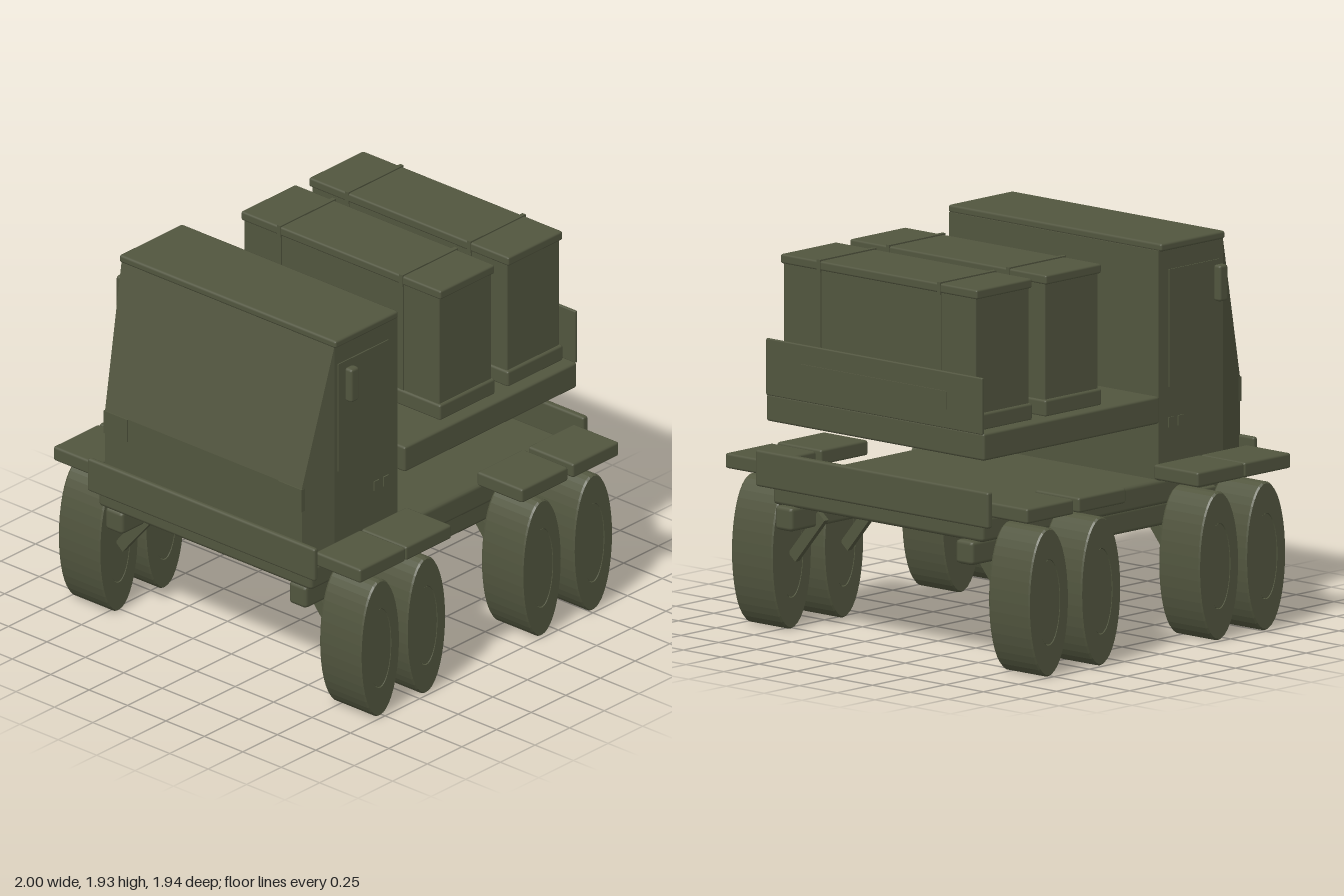
import * as THREE from 'three';
import { RoundedBoxGeometry } from 'three/addons/geometries/RoundedBoxGeometry.js';
import { ConvexGeometry } from 'three/addons/geometries/ConvexGeometry.js';

export function createModel() {
  const model = new THREE.Group();
  model.name = 'truck';
  const olive = new THREE.MeshStandardMaterial({ color: 0x52563f });
  olive.name = 'olive';

  const add = (name, geometry, parent = model) => {
    const mesh = new THREE.Mesh(geometry, olive);
    mesh.name = name;
    parent.add(mesh);
    return mesh;
  };

  // Box given by its limits on each axis, with a small edge bevel r (0 for sharp)
  const box = (name, [x0, x1], [y0, y1], [z0, z1], r = 0.01, parent = model) => {
    const w = x1 - x0, h = y1 - y0, d = z1 - z0;
    const radius = Math.min(r, Math.min(w, h, d) * 0.4);
    const geometry = r > 0 ? new RoundedBoxGeometry(w, h, d, 1, radius) : new THREE.BoxGeometry(w, h, d);
    const mesh = add(name, geometry, parent);
    mesh.position.set((x0 + x1) / 2, (y0 + y1) / 2, (z0 + z1) / 2);
    return mesh;
  };

  // Same box on both sides
  const pair = (name, [x0, x1], y, z, r) => {
    box(name + 'Left', [x0, x1], y, z, r);
    box(name + 'Right', [-x1, -x0], y, z, r);
  };

  // Chassis, rails and bumpers
  box('chassis', [-0.695, 0.695], [0.645, 0.77], [-0.93, 0.945], 0.02);
  pair('frameRail', [0.54, 0.655], [0.53, 0.65], [-0.96, 0.94], 0.02);
  pair('sideStep', [0.68, 0.715], [0.58, 0.69], [0.49, 0.71]);
  box('frontBumper', [-0.74, 0.74], [0.72, 0.895], [0.942, 0.972], 0.012);
  box('rearBumper', [-0.77, 0.77], [0.73, 0.91], [-0.972, -0.935], 0.012);

  // Cab with tapering nose and sloping windscreen
  const corners = [];
  for (const s of [-1, 1]) {
    for (const [x, y, z] of [
      [0.692, 0.765, 0.32], [0.692, 1.9, 0.32], [0.692, 1.9, 0.775],
      [0.692, 0.765, 0.775], [0.64, 0.765, 0.952], [0.64, 1.18, 0.952],
    ]) corners.push(new THREE.Vector3(s * x, y, z));
  }
  add('cab', new ConvexGeometry(corners));
  box('roof', [-0.705, 0.705], [1.895, 1.935], [0.325, 0.78], 0.012);

  // Cab fittings
  pair('door', [0.69, 0.698], [1.22, 1.8], [0.39, 0.75], 0);
  pair('frontHandle', [0.69, 0.698], [1.02, 1.07], [0.455, 0.492], 0);
  pair('rearHandle', [0.69, 0.698], [1.02, 1.07], [0.387, 0.424], 0);
  pair('mirror', [0.72, 0.768], [1.605, 1.785], [0.675, 0.735], 0.014);
  pair('headlight', [0.49, 0.645], [1.06, 1.18], [0.93, 0.959], 0);

  // Load bed and tailgate
  box('loadBed', [-0.72, 0.72], [1.055, 1.19], [-0.947, 0.297], 0.012);
  box('tailgate', [-0.715, 0.715], [1.185, 1.465], [-0.955, -0.938], 0.006);
  box('tailgatePanel', [-0.485, 0.485], [1.28, 1.37], [-0.961, -0.953], 0);

  // Two strapped cargo crates
  for (const z of [-0.235, -0.725]) {
    const crate = new THREE.Group();
    crate.name = 'crate';
    crate.position.z = z;
    model.add(crate);
    box('crateBase', [-0.65, 0.65], [1.185, 1.27], [-0.2, 0.2], 0.012, crate);
    box('crateBody', [-0.635, 0.635], [1.26, 1.85], [-0.19, 0.19], 0.008, crate);
    box('crateLid', [-0.65, 0.65], [1.838, 1.885], [-0.197, 0.197], 0.01, crate);
    for (const x of [-0.4, 0.395]) {
      const width = [x - 0.011, x + 0.011];
      box('strapTop', width, [1.83, 1.892], [-0.2, 0.2], 0, crate);
      box('strapSides', width, [1.27, 1.84], [-0.196, 0.196], 0, crate);
    }
  }

  // Mudguards
  const guards = [[0.6, 0.93], [0.268, 0.598], [-0.573, -0.238], [-0.94, -0.607]];
  for (const z of guards) pair('mudguard', [0.705, 1], [0.782, 0.857], z, 0.012);

  // Wheels: narrowed along z, each with an inset hub and a slanted strut
  const R = 0.367, hubR = 0.213;
  const tyreGeometry = new THREE.LatheGeometry(
    [[hubR, -0.135], [R - 0.008, -0.135], [R, -0.125], [R, 0.125], [R - 0.008, 0.135], [hubR, 0.135], [hubR, -0.135]]
      .map(([r, h]) => new THREE.Vector2(r, h)), 40).toNonIndexed();
  tyreGeometry.computeVertexNormals();
  const hubGeometry = new THREE.CylinderGeometry(hubR - 0.004, hubR - 0.004, 0.264, 40);
  for (const g of [tyreGeometry, hubGeometry]) g.rotateZ(Math.PI / 2);

  for (const side of [-1, 1]) {
    for (const z of [0.768, 0.435, -0.4, -0.77]) {
      const wheel = new THREE.Group();
      wheel.name = 'wheel';
      wheel.position.set(side * 0.85, 0.37, z);
      wheel.scale.z = 0.375;
      add('tyre', tyreGeometry, wheel);
      add('hub', hubGeometry, wheel);
      model.add(wheel);

      const strut = add('strut', new THREE.BoxGeometry(0.06, 0.3, 0.03));
      strut.position.set(side * 0.605, 0.475, z);
      strut.rotation.z = side * Math.atan2(0.19, 0.225);
    }
  }
  return model;
}
